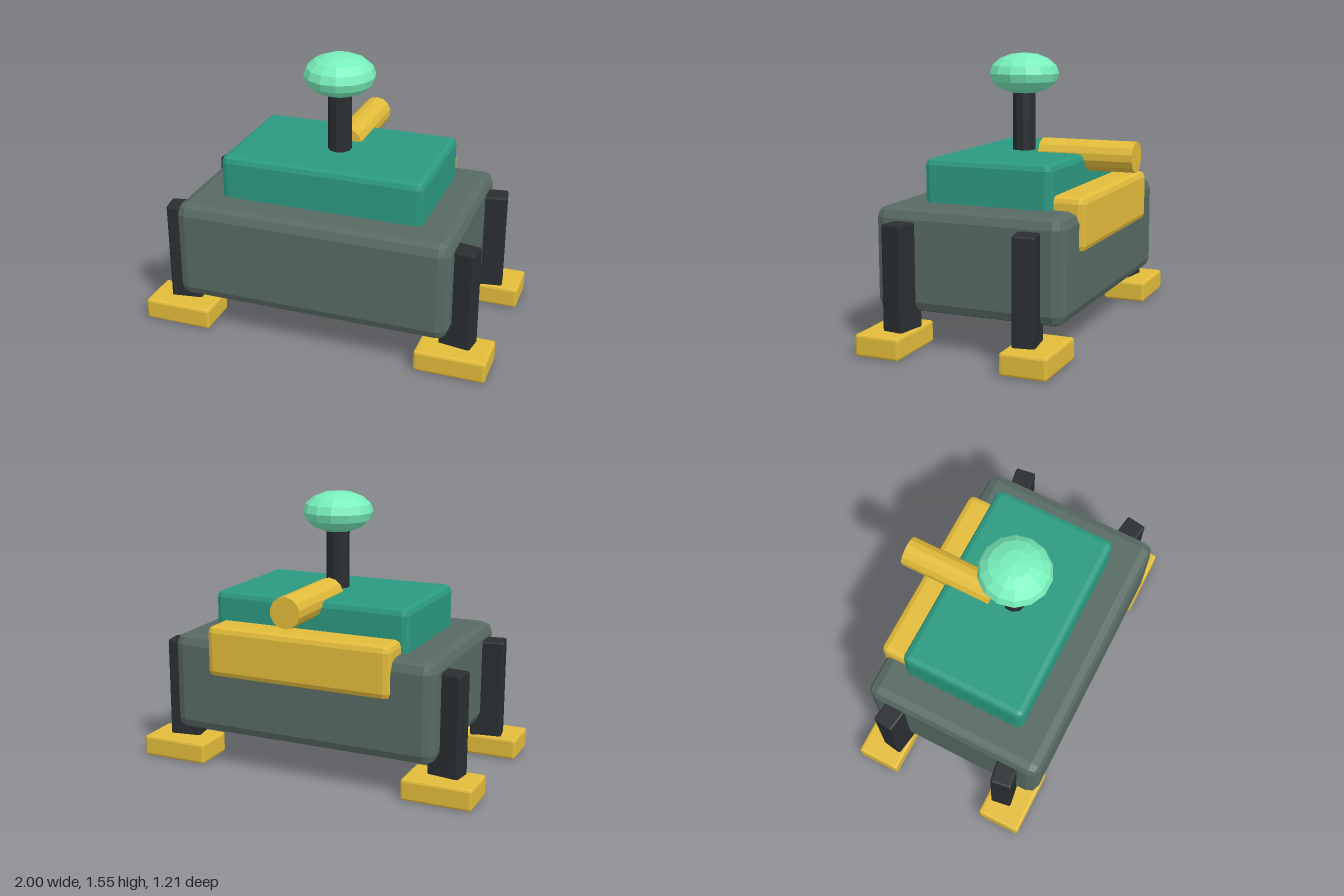
import * as THREE from 'three';
import { RoundedBoxGeometry } from 'three/addons/geometries/RoundedBoxGeometry.js';

const paint = (color) => new THREE.MeshStandardMaterial({ color, flatShading: true });

export function createModel() {
  const model = new THREE.Group();
  const grey = paint(0x586a64);
  const teal = paint(0x2b9a80);
  const yellow = paint(0xe3bc3b);
  const dark = paint(0x2a2e31);
  const mint = paint(0x78efbb);

  const add = (name, geometry, material, x, y, z) => {
    const mesh = new THREE.Mesh(geometry, material);
    mesh.name = name;
    mesh.position.set(x, y, z);
    model.add(mesh);
    return mesh;
  };

  // Bevelled box given by its lower and upper corners
  const block = (name, material, [x0, y0, z0], [x1, y1, z1], bevel) =>
    add(name, new RoundedBoxGeometry(x1 - x0, y1 - y0, z1 - z0, 1, bevel), material,
      (x0 + x1) / 2, (y0 + y1) / 2, (z0 + z1) / 2);

  // Stacked hull
  block('body', grey, [-0.78, 0.2, -0.472], [0.78, 0.762, 0.602], 0.06);
  block('upperDeck', teal, [-0.58, 0.65, -0.33], [0.58, 1.0, 0.405], 0.035);
  block('rearPack', yellow, [-0.545, 0.545, -0.5], [0.545, 0.835, -0.24], 0.035);

  // Barrel lying half sunk in the deck and sticking out at the back
  const barrel = new THREE.CylinderGeometry(0.087, 0.087, 0.55, 14);
  barrel.rotateX(Math.PI / 2);
  add('barrel', barrel, yellow, 0, 0.986, -0.33);

  // Mast with a flattened knob
  add('mast', new THREE.CylinderGeometry(0.066, 0.066, 0.5, 10), dark, 0, 1.14, 0.065);
  const knob = new THREE.SphereGeometry(0.2, 14, 8);
  knob.scale(1, 0.585, 1);
  add('knob', knob, mint, 0, 1.433, 0.065);

  // Four legs turned slightly outwards, each on a flat foot
  for (const side of [1, -1]) {
    for (const [end, legZ, footZ] of [[1, 0.424, 0.473], [-1, -0.294, -0.347]]) {
      const place = (end > 0 ? 'front' : 'rear') + (side > 0 ? 'Left' : 'Right');
      const leg = add(place + 'Leg', new RoundedBoxGeometry(0.182, 0.61, 0.122, 1, 0.012), dark,
        side * 0.805, 0.385, legZ);
      leg.rotation.y = -side * end * 0.15;
      add(place + 'Foot', new RoundedBoxGeometry(0.395, 0.12, 0.256, 1, 0.014), yellow,
        side * 0.8025, 0.06, footZ);
    }
  }
  return model;
}
